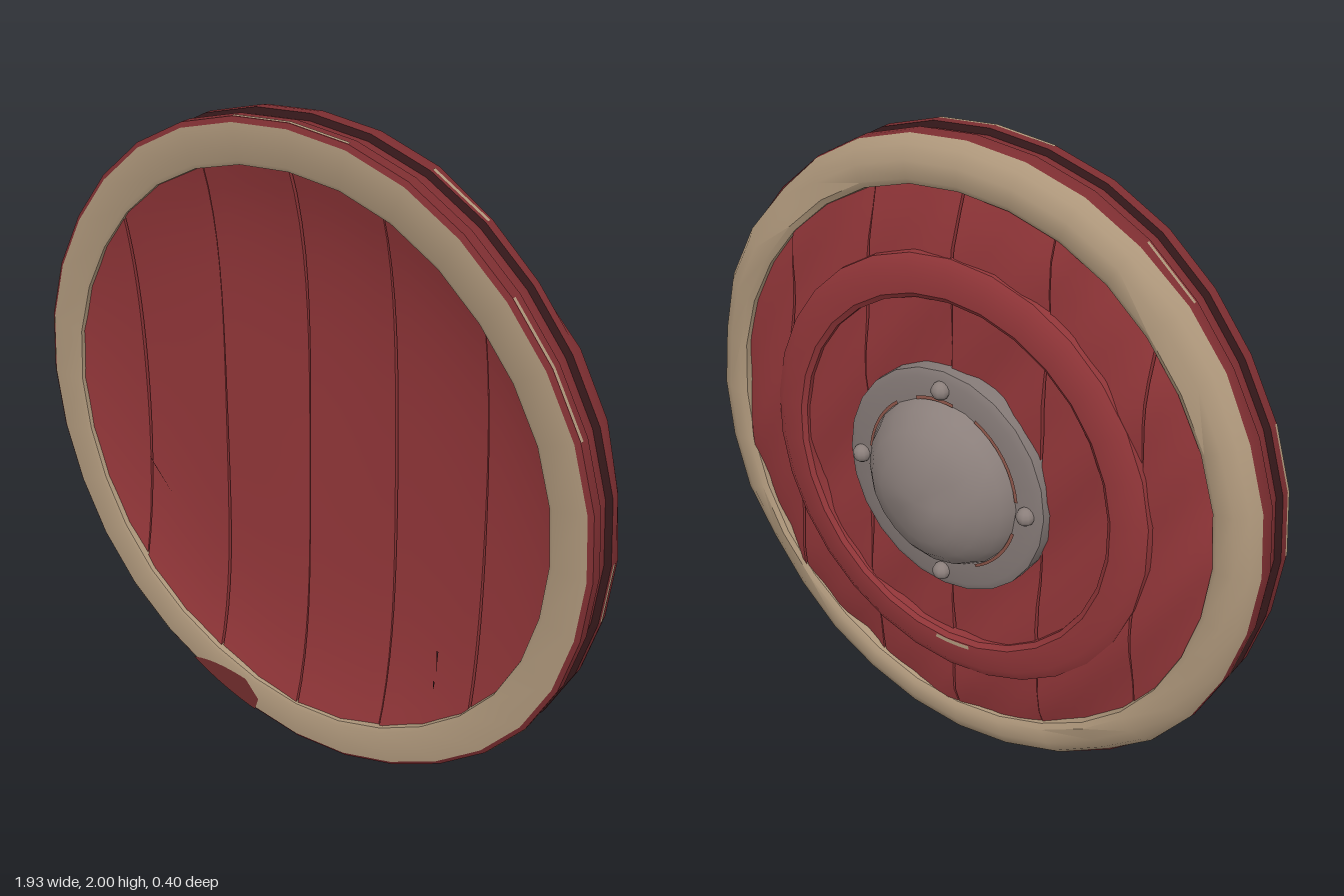
import * as THREE from 'three';
import { toCreasedNormals } from 'three/addons/utils/BufferGeometryUtils.js';

const SX = 0.965; // the shield is slightly narrower than tall
const SEG = 32;
const STEP = (Math.PI * 2) / SEG;
const mat = (name, color, side = THREE.FrontSide) => {
  const m = new THREE.MeshStandardMaterial({ color, side });
  m.name = name;
  return m;
};

// The planked face is a shallow bowl: hollow in front, bulging behind
const frontZ = (r) => 0.112 + 0.07 * (r / 0.87) ** 4;
const rearZ = (r) => -0.02 + 0.045 * (r / 0.87) ** 6;

// Move every vertex by a rule, then smooth it with kept creases
function finish(geo, rule, crease = 0.6) {
  const p = geo.attributes.position;
  const v = new THREE.Vector3();
  for (let i = 0; i < p.count; i++) {
    v.fromBufferAttribute(p, i);
    rule(v);
    p.setXYZ(i, v.x, v.y, v.z);
  }
  geo.computeVertexNormals();
  return toCreasedNormals(geo, crease);
}

// Profile of [radius, z] turned round the z axis; angle 0 is at the bottom, growing to +x
function turned(profile, segments, start = 0, length = Math.PI * 2) {
  const pts = profile.map(([r, z]) => new THREE.Vector2(r, z));
  return new THREE.LatheGeometry(pts, segments, start, length).rotateX(Math.PI / 2);
}

// Hand-hewn rim: uneven outline and a few dents in the outer rear edge
const DENTS = [[2.42, 0.03], [-2.25, 0.02], [0.9, 0.02], [-0.6, 0.02], [1.75, 0.012]];
function hewn(v) {
  const a = Math.atan2(v.x, -v.y);
  const w = THREE.MathUtils.smoothstep(Math.hypot(v.x, v.y), 0.87, 0.96);
  if (v.z < 0.053) {
    for (const [at, depth] of DENTS) v.z += w * depth * Math.exp(-(((a - at) / 0.13) ** 2));
  }
  const k = 0.997 + 0.003 * Math.sin(a * 7 + 1);
  v.x *= SX * k;
  v.y *= k;
}
const oval = (v) => { v.x *= SX; };

export function createModel() {
  const red = mat('red paint', 0x923639);
  const edgeRed = mat('edge red', 0x7d2e31);
  const tan = mat('bare wood', 0xae977b, THREE.DoubleSide);
  const seamDark = mat('seam shadow', 0x35181a, THREE.DoubleSide);
  const chipRed = mat('chip red', 0x712d2c, THREE.DoubleSide);
  const iron = mat('iron', 0x8b7f7b);
  const flangeIron = mat('flange iron', 0x847976);
  const rust = mat('rust', 0x8a5448);

  const shield = new THREE.Group();
  shield.name = 'shield';
  const body = new THREE.Group();
  body.name = 'shieldBody';
  body.position.y = 1;
  shield.add(body);
  const add = (name, geo, material, parent = body) => {
    const m = new THREE.Mesh(geo, material);
    m.name = name;
    parent.add(m);
    return m;
  };

  // Planks: boxes bent to the round outline and the bowl, smooth in front and rough behind
  const edges = [-0.855, -0.618, -0.311, -0.003, 0.302, 0.61, 0.855];
  const planks = new THREE.Group();
  planks.name = 'planks';
  body.add(planks);
  for (let i = 0; i < 6; i++) {
    const x0 = edges[i] + 0.0028;
    const x1 = edges[i + 1] - 0.0028;
    const geo = finish(new THREE.BoxGeometry(1, 1, 1, 6, 20, 1), (v) => {
      const front = v.z > 0;
      const u = v.x;
      const t = v.y;
      v.x = THREE.MathUtils.lerp(x0, x1, u + 0.5);
      v.y = t * 2 * 0.89 * Math.sqrt(Math.max(0, 1 - (v.x / 0.8588) ** 2));
      const r = Math.hypot(v.x / SX, v.y);
      v.z = front
        ? frontZ(r) + 0.005 * Math.sin(v.y * 3 + i * 2.1) * u * 2
        : rearZ(r) + 0.009 * Math.sin(v.y * 9 + i * 2.3 + u * 3) + 0.007 * Math.sin(u * 7 + v.y * 17 + i);
      v.x *= 1 - 0.02 * v.y;
    }, 0.9);
    add('plank', geo, red, planks);
  }
  // Dark core that shows through the seams
  const radii = [0, 0.3, 0.5, 0.65, 0.76, 0.86];
  const core = [...radii.map((r) => [r, rearZ(r) + 0.028]),
    ...radii.toReversed().map((r) => [r, frontZ(r) - 0.016])];
  add('plankCore', finish(turned(core, SEG), oval), seamDark);

  // Splits in the front of the planks
  const splits = [
    [[-0.62, -0.22], [-0.53, -0.335], [-0.6, -0.25]],
    [[0.478, -0.47], [0.485, -0.54], [0.484, -0.47]],
    [[0.478, -0.57], [0.485, -0.6], [0.484, -0.57]],
  ];
  for (const pts of splits) {
    const shape = new THREE.Shape(pts.map(([x, y]) => new THREE.Vector2(x, y)));
    const geo = finish(new THREE.ShapeGeometry(shape), (v) => { v.z = frontZ(Math.hypot(v.x / SX, v.y)) + 0.006; });
    add('plankSplit', geo, seamDark);
  }

  // Rim: bare rear face, red edge of two bands with a sunk one between, bare front face
  const rim = new THREE.Group();
  rim.name = 'rim';
  body.add(rim);
  const rimPart = (name, profile, material) =>
    add(name, finish(turned(profile, SEG), hewn, 0.7), material, rim);
  rimPart('rearRim', [[0.862, 0.05], [0.868, 0.012], [0.885, 0.001], [0.935, 0.003], [0.975, 0.022], [0.998, 0.05]], tan);
  rimPart('rearBand', [[0.998, 0.05], [1.002, 0.07], [1.002, 0.095]], edgeRed);
  rimPart('rearGroove', [[1.002, 0.095], [0.984, 0.103]], seamDark);
  rimPart('middleBand', [[0.984, 0.103], [0.987, 0.126], [0.984, 0.149]], edgeRed);
  rimPart('frontGroove', [[0.984, 0.149], [1.002, 0.156]], seamDark);
  rimPart('frontBand', [[1.002, 0.156], [1.002, 0.19], [0.988, 0.199]], edgeRed);
  rimPart('frontRim', [[0.988, 0.199], [0.975, 0.2], [0.885, 0.2], [0.873, 0.194], [0.868, 0.15]], tan);

  // Worn patches lying on the edge bands, as [first facet, facet count]
  const wear = [[1, 1], [4, 2], [7, 1], [10, 2], [13, 1], [15, 2], [19, 1], [22, 2], [25, 1], [28, 2]];
  wear.forEach(([first, count], i) => {
    const z = i % 2 ? 0.18 : 0.076;
    const patch = turned([[1.0035, z], [1.0035, z + 0.01]], count, first * STEP, count * STEP);
    add('wornEdge', finish(patch, hewn), tan, rim);
  });

  // Chipped place low on the front rim
  const chip = new THREE.Shape();
  chip.moveTo(-0.42, -0.882);
  chip.quadraticCurveTo(-0.33, -0.85, -0.2, -0.868);
  chip.lineTo(-0.15, -0.925);
  chip.lineTo(-0.165, -0.972);
  chip.quadraticCurveTo(-0.3, -0.948, -0.42, -0.882);
  add('rimChip', new THREE.ShapeGeometry(chip).translate(0, 0, 0.2025), chipRed, rim);

  // Raised ring on the rear
  add('rearRing', finish(turned([[0.56, 0.04], [0.56, -0.034], [0.575, -0.045], [0.65, -0.045],
    [0.685, -0.024], [0.688, 0.04]], 30), oval), red);
  add('ringScrape', finish(turned([[0.575, -0.047], [0.588, -0.047]], 4, -0.15, 0.22), oval), tan);

  // Boss: flange, hammered dome, traces of rust and four rivets
  const boss = new THREE.Group();
  boss.name = 'boss';
  body.add(boss);
  // the outline of the flange runs from its outer wall in to the dome
  add('bossFlange', finish(turned([[0.22, -0.06], [0.335, -0.066], [0.358, -0.055], [0.362, 0.03]], 24), oval), flangeIron, boss);
  const dome = turned([[0, -0.2], [0.07, -0.197], [0.14, -0.18], [0.2, -0.148], [0.245, -0.105], [0.268, -0.06]], 20);
  add('bossDome', finish(dome, (v) => {
    oval(v);
    v.z += 0.014 * Math.exp(-((v.x - 0.08) ** 2 + (v.y + 0.1) ** 2) / 0.004);
    v.z += 0.01 * Math.exp(-((v.x + 0.1) ** 2 + (v.y - 0.06) ** 2) / 0.004);
  }, 1.2), iron, boss);
  for (const [start, length] of [[0.3, 0.9], [1.7, 0.8], [2.8, 0.5], [3.6, 1.0], [5.0, 0.8]]) {
    add('rustTrace', finish(turned([[0.266, -0.0685], [0.276, -0.067]], 8, start, length), oval), rust, boss);
  }
  for (let i = 0; i < 4; i++) {
    const a = (i * Math.PI) / 2;
    const rivet = add('rivet', new THREE.SphereGeometry(0.028, 10, 7), iron, boss);
    rivet.position.set(0.305 * SX * Math.sin(a), 0.305 * Math.cos(a), -0.07);
  }
  return shield;
}
